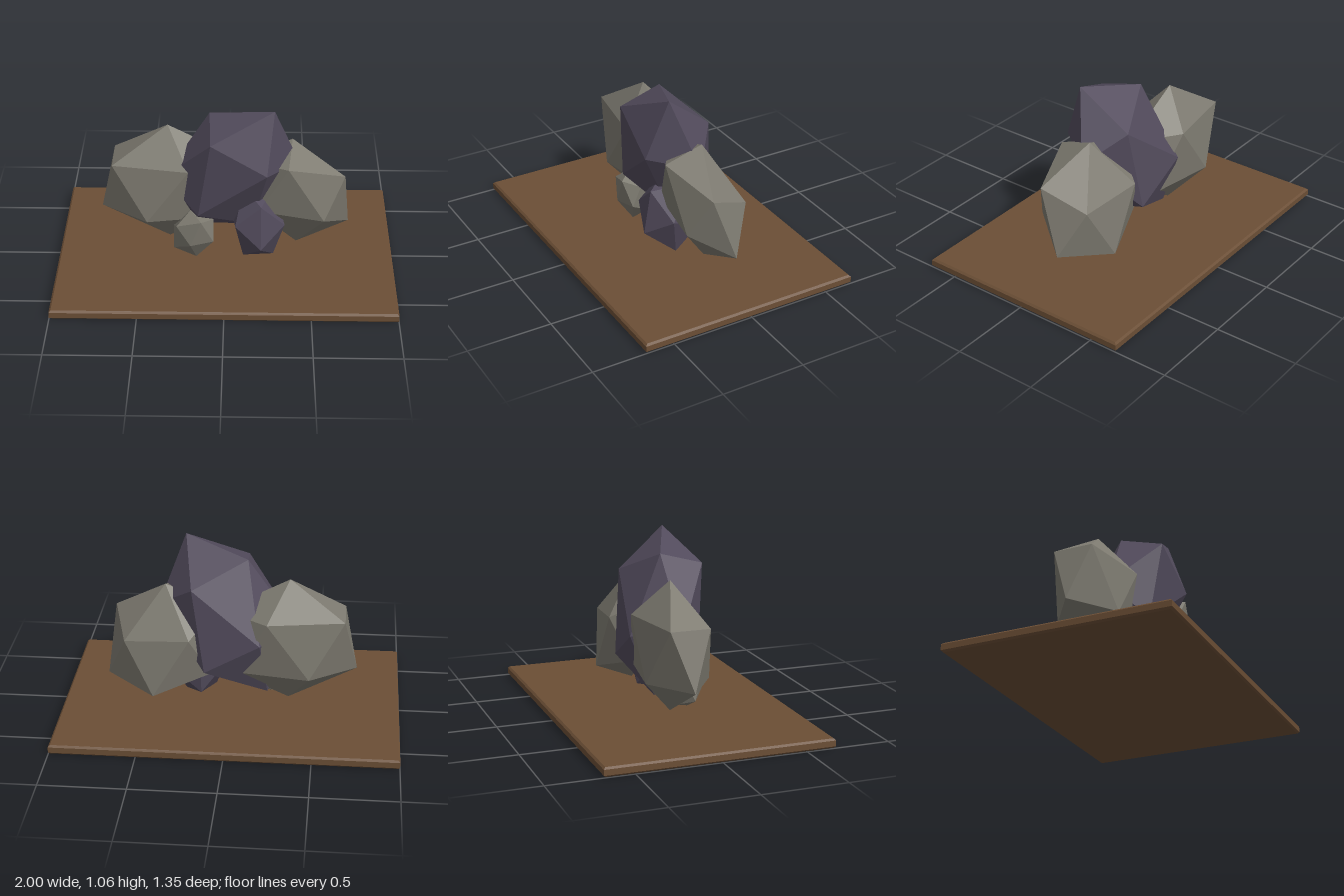
import * as THREE from 'three';

const board = new THREE.MeshStandardMaterial({ color: 0x6b4e35 });
board.name = 'brown board';
const greyStone = new THREE.MeshStandardMaterial({ color: 0x7d7a70 });
greyStone.name = 'grey stone';
const darkStone = new THREE.MeshStandardMaterial({ color: 0x524b5c });
darkStone.name = 'dark purple stone';

// A boulder is an icosahedron stretched and tilted along three axes.
function boulder(name, material, center, a, b, c) {
  const golden = (1 + Math.sqrt(5)) / 2;
  const geometry = new THREE.IcosahedronGeometry(Math.hypot(1, golden), 0);
  geometry.applyMatrix4(new THREE.Matrix4().makeBasis(
    new THREE.Vector3(...a), new THREE.Vector3(...b), new THREE.Vector3(...c)));
  const mesh = new THREE.Mesh(geometry, material);
  mesh.name = name;
  mesh.position.set(...center);
  return mesh;
}

// Flat board with chamfered edges, standing on y = 0.
function baseBoard(width, height, depth, bevel) {
  const x = width / 2 - bevel, z = depth / 2 - bevel;
  const outline = new THREE.Shape([
    new THREE.Vector2(-x, -z), new THREE.Vector2(x, -z),
    new THREE.Vector2(x, z), new THREE.Vector2(-x, z),
  ]);
  const geometry = new THREE.ExtrudeGeometry(outline, {
    depth: height - 2 * bevel, bevelEnabled: true,
    bevelSize: bevel, bevelThickness: bevel, bevelSegments: 1,
  });
  geometry.rotateX(-Math.PI / 2).translate(0, bevel, 0);
  const mesh = new THREE.Mesh(geometry, board);
  mesh.name = 'baseBoard';
  return mesh;
}

export function createModel() {
  const model = new THREE.Group();
  model.name = 'rockPile';
  model.add(
    baseBoard(2, 0.056, 1.35, 0.011),
    // Three large boulders
    boulder('centerBoulder', darkStone, [0.032, 0.61, 0.004],
      [0.075, -0.199, -0.061], [0.2, 0.155, 0.034], [0.005, -0.037, 0.132]),
    boulder('rightBoulder', greyStone, [-0.34, 0.485, -0.06],
      [0.201, -0.106, 0], [0.124, 0.172, 0], [0, 0, 0.118]),
    boulder('leftBoulder', greyStone, [0.407, 0.443, -0.03],
      [0.156, 0.067, -0.015], [-0.107, 0.179, 0.009], [0.04, 0.058, 0.132]),
    // Two small stones in front
    boulder('smallRightStone', greyStone, [-0.19, 0.225, 0.11],
      [0.067, -0.032, 0], [0.032, 0.082, 0], [0.01, 0.03, 0.055]),
    boulder('smallLeftStone', darkStone, [0.195, 0.29, 0.061],
      [0.09, -0.009, -0.022], [0, 0.135, -0.022], [0.009, 0.025, 0.1]),
  );
  return model;
}
